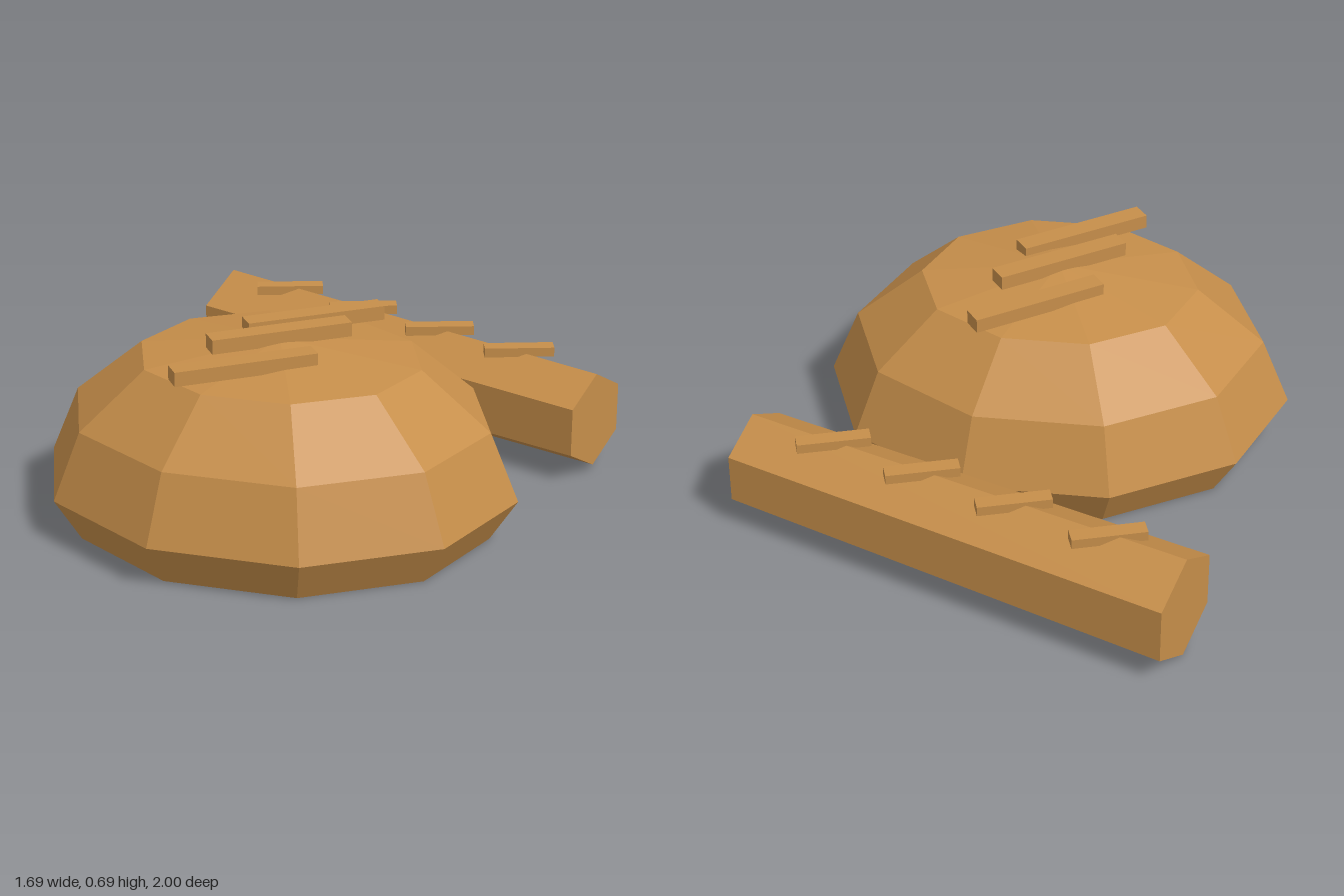
import * as THREE from 'three';

export function createModel() {
  const group = new THREE.Group();
  const crust = new THREE.MeshStandardMaterial({ color: 0xc68e4a, flatShading: true });
  crust.name = 'crust';

  function add(name, geometry, x, y, z, degrees = 0) {
    const mesh = new THREE.Mesh(geometry, crust);
    mesh.name = name;
    mesh.position.set(x, y, z);
    mesh.rotation.y = THREE.MathUtils.degToRad(degrees);
    group.add(mesh);
  }

  // Round loaf: ten-sided dome, stretched into a slightly skewed oval
  const profile = [[0, 0], [0.885, 0], [1, 0.15], [0.88, 0.39], [0.592, 0.59], [0, 0.655]]
    .map(([r, y]) => new THREE.Vector2(r, y));
  const dome = new THREE.LatheGeometry(profile, 10).applyMatrix4(new THREE.Matrix4().set(
    0.816, 0, -0.11, 0,
    0, 1, 0, 0,
    0.045, 0, 0.705, 0,
    0, 0, 0, 1));
  add('roundLoaf', dome, 0, 0, 0.285);

  // Three slashes across the dome, the middle one highest
  const slash = new THREE.BoxGeometry(0.493, 0.05, 0.072);
  [[0.04, 0.64], [0.287, 0.665], [0.533, 0.64]].forEach(([z, y], i) =>
    add(`roundLoafSlash${i + 1}`, slash, 0, y, z, 47.5));

  // Long loaf: tapered hexagonal bar lying on its side with a ridge on top
  const bar = new THREE.CylinderGeometry(0.175, 0.195, 1.657, 6)
    .rotateY(Math.PI / 6)
    .rotateZ(-Math.PI / 2);
  add('longLoaf', bar, 0, 0.197, -0.695, -10);

  // Four small slashes along the ridge
  const smallSlash = new THREE.BoxGeometry(0.25, 0.034, 0.055);
  for (let i = 0; i < 4; i++) {
    add(`longLoafSlash${i + 1}`, smallSlash, -0.54 + i * 0.343, 0.381, -0.79 + i * 0.0587, 30);
  }

  return group;
}
